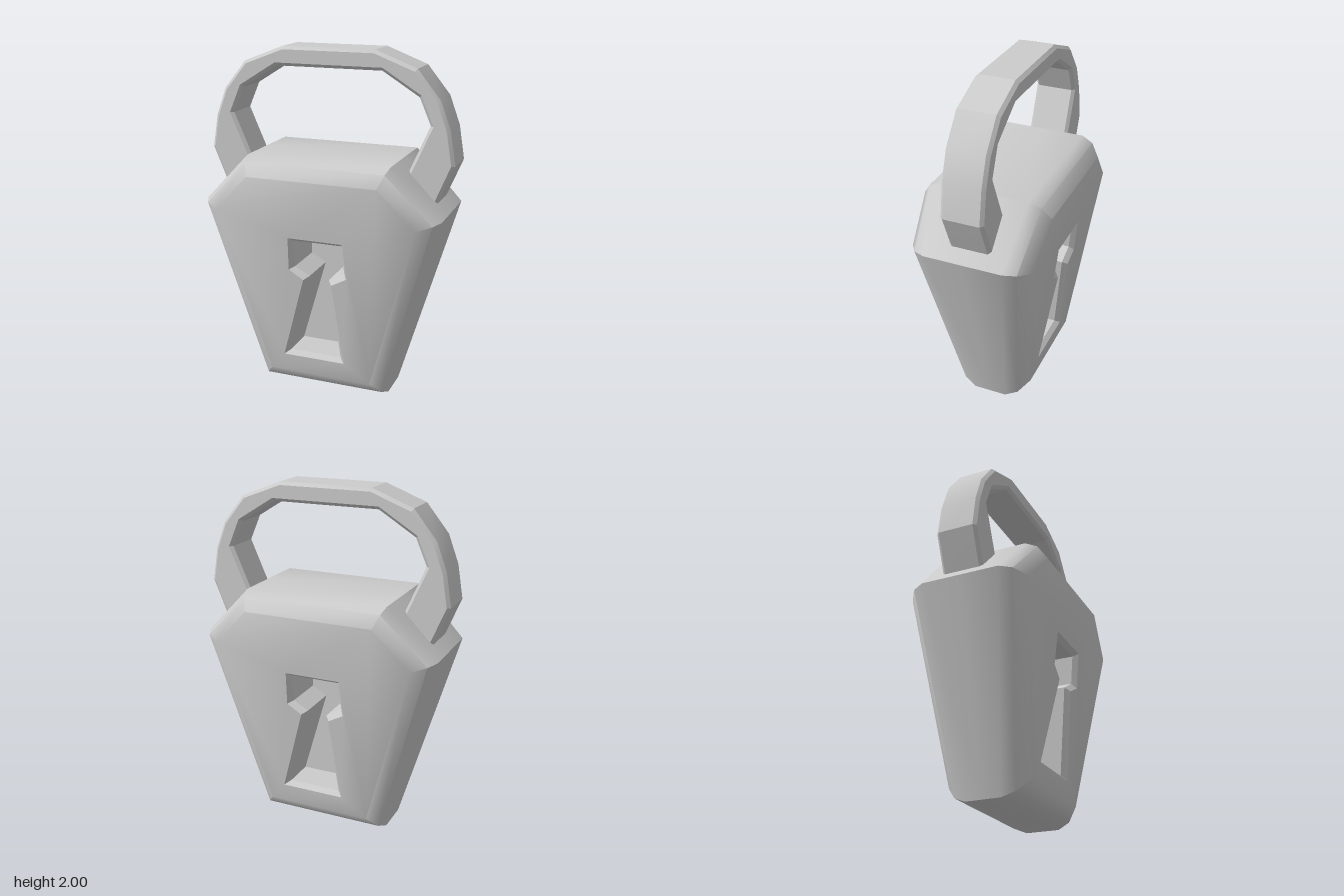
import * as THREE from 'three';
import { toCreasedNormals } from 'three/addons/utils/BufferGeometryUtils.js';

const material = new THREE.MeshStandardMaterial({ color: 0xcccccc, side: THREE.DoubleSide });
const points = list => list.map(([x, y]) => new THREE.Vector2(x, y));

// The body gets thicker towards the top.
const faceZ = y => 0.224 + 0.1115 * y;
const lift = (outline, zOf) => outline.map(p => new THREE.Vector3(p.x, p.y, zOf(p.y)));

// Moves a counter-clockwise outline inwards by d with mitred corners.
function inset(outline, d) {
  const n = outline.length;
  return outline.map((p, i) => {
    const a = p.clone().sub(outline[(i + n - 1) % n]).normalize();
    const b = outline[(i + 1) % n].clone().sub(p).normalize();
    const n1 = new THREE.Vector2(-a.y, a.x), n2 = new THREE.Vector2(-b.y, b.x);
    return p.clone().addScaledVector(n1.clone().add(n2), d / (1 + n1.dot(n2)));
  });
}

// Joins successive rings with quads.
function addStrips(out, rings) {
  for (let r = 0; r + 1 < rings.length; r++) {
    const lo = rings[r], hi = rings[r + 1], n = lo.length;
    for (let i = 0; i < n; i++) {
      const j = (i + 1) % n;
      out.push(lo[i], lo[j], hi[j], lo[i], hi[j], hi[i]);
    }
  }
}

// Fills a ring, leaving an optional hole open.
function addCap(out, ring, hole = []) {
  const holeCW = [...hole].reverse(), all = [...ring, ...holeCW];
  const flat = r => r.map(p => new THREE.Vector2(p.x, p.y));
  const holes = hole.length ? [flat(holeCW)] : [];
  for (const tri of THREE.ShapeUtils.triangulateShape(flat(ring), holes))
    out.push(...tri.map(i => all[i]));
}

function toGeometry(vertices, crease) {
  return toCreasedNormals(new THREE.BufferGeometry().setFromPoints(vertices), crease);
}

// Half of the body: sides, rounded edge and front face with a keyhole opening.
function halfBody(keyholeRim) {
  const hexagon = points([[-0.385, 0], [0.385, 0], [0.7, 1.125], [0.42, 1.41], [-0.42, 1.41], [-0.7, 1.125]]);
  const rings = [lift(hexagon, () => 0)];
  for (const [d, drop] of [[0, 0.125], [0.03, 0.055], [0.1, 0]])
    rings.push(lift(inset(hexagon, d), y => faceZ(y) - drop));
  const vertices = [];
  addStrips(vertices, rings);
  addCap(vertices, rings.at(-1), keyholeRim);
  return toGeometry(vertices, 0.7);
}

// Recess with a bevelled rim, straight walls and a flat floor.
function keyholeRecess(rim, inner) {
  const edge = lift(inner, y => faceZ(y) - 0.03);
  const floor = lift(inner, () => 0.03);
  const vertices = [];
  addStrips(vertices, [rim, edge, floor]);
  addCap(vertices, floor);
  return toGeometry(vertices, 0.3);
}

// Faceted bevelled band, mirrored left to right.
function shackleGeometry() {
  const outer = [[0.6, 1.1], [0.64, 1.19], [0.727, 1.4], [0.695, 1.59], [0.635, 1.75], [0.505, 1.91], [0.27, 2]];
  const innerSide = [[0.31, 1.89], [0.52, 1.76], [0.585, 1.61], [0.475, 1.36], [0.405, 1.2]];
  const mirror = list => list.map(([x, y]) => [-x, y]).reverse();
  const shape = new THREE.Shape(points([...outer, ...mirror(outer), ...mirror(innerSide), ...innerSide]));
  const bevel = 0.018;
  const geometry = new THREE.ExtrudeGeometry(shape, {
    depth: 0.24 - 2 * bevel, bevelEnabled: true, bevelSegments: 1,
    bevelSize: bevel, bevelThickness: bevel, bevelOffset: -bevel,
  });
  geometry.translate(0, 0, -0.138 + bevel);
  return toCreasedNormals(geometry, 0.35);
}

export function createModel() {
  const model = new THREE.Group();
  model.name = 'padlock';
  const add = (parent, name, geometry) => {
    const mesh = new THREE.Mesh(geometry, material);
    mesh.name = name;
    parent.add(mesh);
  };

  // Slightly crooked keyhole, counter-clockwise from bottom left.
  const rimOutline = points([[-0.22, 0.21], [0.155, 0.21], [0.1, 0.71], [0.19, 0.76],
    [0.175, 0.97], [-0.15, 0.97], [-0.155, 0.775], [-0.07, 0.72]]);
  const innerOutline = points([[-0.185, 0.235], [0.127, 0.235], [0.075, 0.73], [0.17, 0.787],
    [0.155, 0.95], [-0.127, 0.95], [-0.127, 0.79], [-0.04, 0.74]]);
  const rim = lift(rimOutline, faceZ);
  const bodyGeometry = halfBody(rim);
  const recessGeometry = keyholeRecess(rim, innerOutline);

  // The back is the front turned half a circle.
  for (const [side, angle] of [['front', 0], ['back', Math.PI]]) {
    const half = new THREE.Group();
    half.name = side + 'Half';
    half.rotation.y = angle;
    add(half, side + 'Body', bodyGeometry);
    add(half, side + 'Keyhole', recessGeometry);
    model.add(half);
  }

  add(model, 'shackle', shackleGeometry());
  return model;
}
